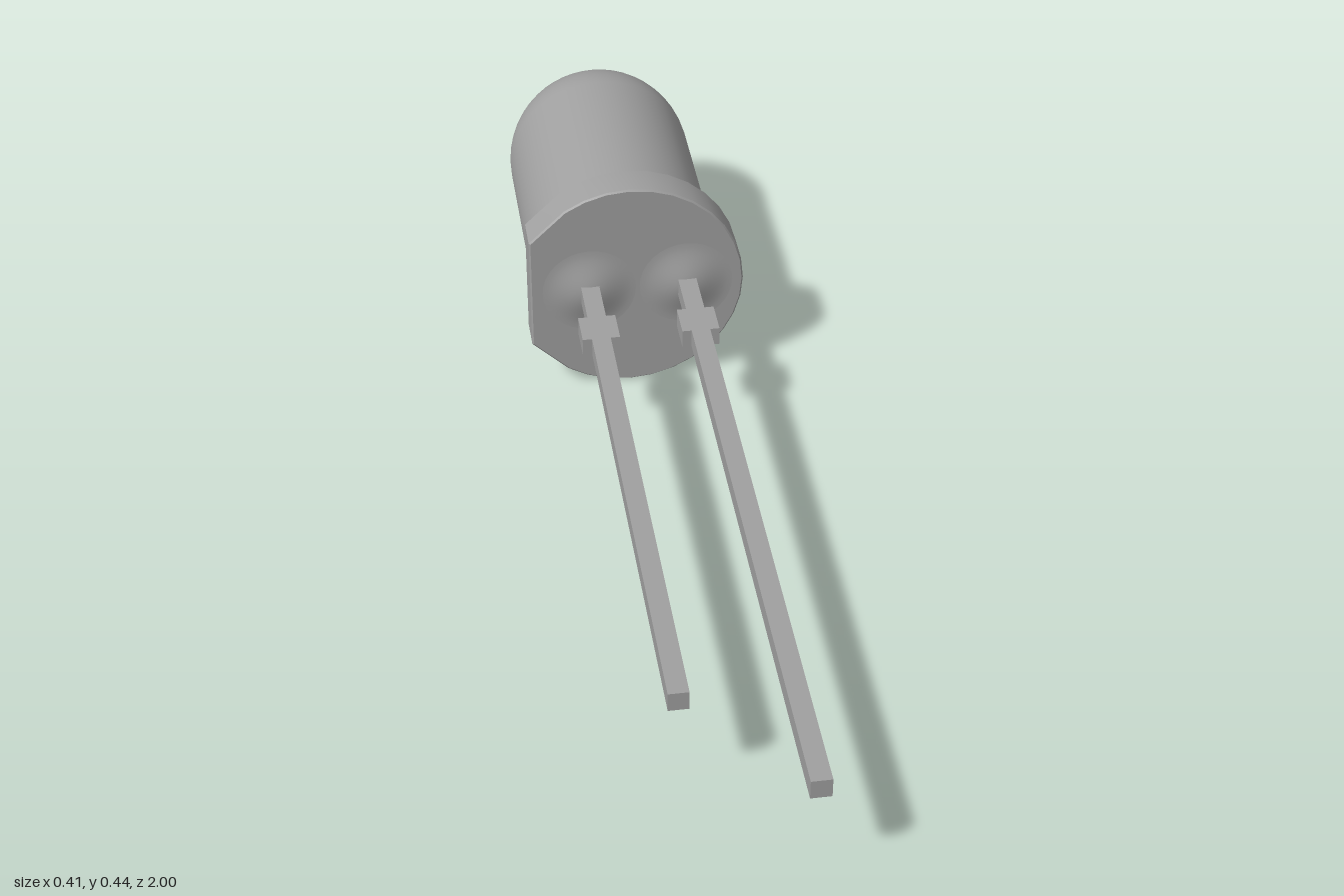
import * as THREE from 'three';
import { toCreasedNormals } from 'three/addons/utils/BufferGeometryUtils.js';

const CX = -0.015, CY = 0.221;            // axis of the bulb
const FLANGE_FRONT = -0.357, FLANGE_BACK = -0.428;

export function createModel() {
  const group = new THREE.Group();
  const material = new THREE.MeshStandardMaterial({ color: 0xa0a0a0 });
  const add = (name, geometry, x, y, z) => {
    const mesh = new THREE.Mesh(geometry, material);
    mesh.name = name;
    mesh.position.set(x, y, z);
    group.add(mesh);
  };

  // Lens: straight cylinder closed by a hemisphere, pointing to the back
  const r = 0.182, shoulder = 1 + FLANGE_BACK - r;
  const lens = [new THREE.Vector2(r, 0)];
  for (let i = 0; i <= 16; i++) {
    const a = (i / 16) * Math.PI / 2;
    lens.push(new THREE.Vector2(i === 16 ? 0 : r * Math.cos(a), shoulder + r * Math.sin(a)));
  }
  add('lens', new THREE.LatheGeometry(lens, 48).rotateX(-Math.PI / 2), CX, CY, FLANGE_BACK);

  // Flange: 32-sided disc with the left side cut flat and finely broken edges
  const outline = [], R = 0.22, bevel = 0.003;
  for (let i = -11; i <= 11; i++) {
    const a = (i / 32) * Math.PI * 2;
    outline.push(new THREE.Vector2(R * Math.cos(a), R * Math.sin(a)));
  }
  outline.push(new THREE.Vector2(-0.191, 0.117), new THREE.Vector2(-0.191, -0.117));
  const flange = new THREE.ExtrudeGeometry(new THREE.Shape(outline), {
    depth: FLANGE_FRONT - FLANGE_BACK - 2 * bevel,
    bevelSize: bevel, bevelThickness: bevel, bevelOffset: -bevel, bevelSegments: 1,
  });
  add('flange', toCreasedNormals(flange, 0.35), CX, CY, FLANGE_BACK + bevel);

  // Soft mound of resin where a lead leaves the flange
  const mound = [];
  for (let i = 0; i <= 10; i++) {
    const t = i / 10;
    mound.push(new THREE.Vector2(0.09 * (1 - t), 0.018 * t * t * (3 - 2 * t)));
  }
  const moundGeometry = new THREE.LatheGeometry(mound, 32).rotateX(Math.PI / 2);

  // Lead: square wire with a wider stop tab near the flange
  const leadGeometry = (end) => {
    const w = 0.0175, tab = 0.035, t0 = -0.245, t1 = -0.175;
    const half = [[w, -0.4], [w, t0], [tab, t0], [tab, t1], [w, t1], [w, end]];
    const points = [...half, ...half.map(([x, z]) => [-x, z]).reverse()];
    const shape = new THREE.Shape(points.map(([x, z]) => new THREE.Vector2(x, z)));
    return new THREE.ExtrudeGeometry(shape, { depth: 0.036, bevelEnabled: false })
      .rotateX(Math.PI / 2).translate(0, 0.018, 0);
  };

  for (const [side, x, end] of [['right', -0.093, 0.78], ['left', 0.094, 1]]) {
    add(side + 'Mound', moundGeometry, x, CY, FLANGE_FRONT);
    add(side + 'Lead', leadGeometry(end), x, CY, 0);
  }
  return group;
}
